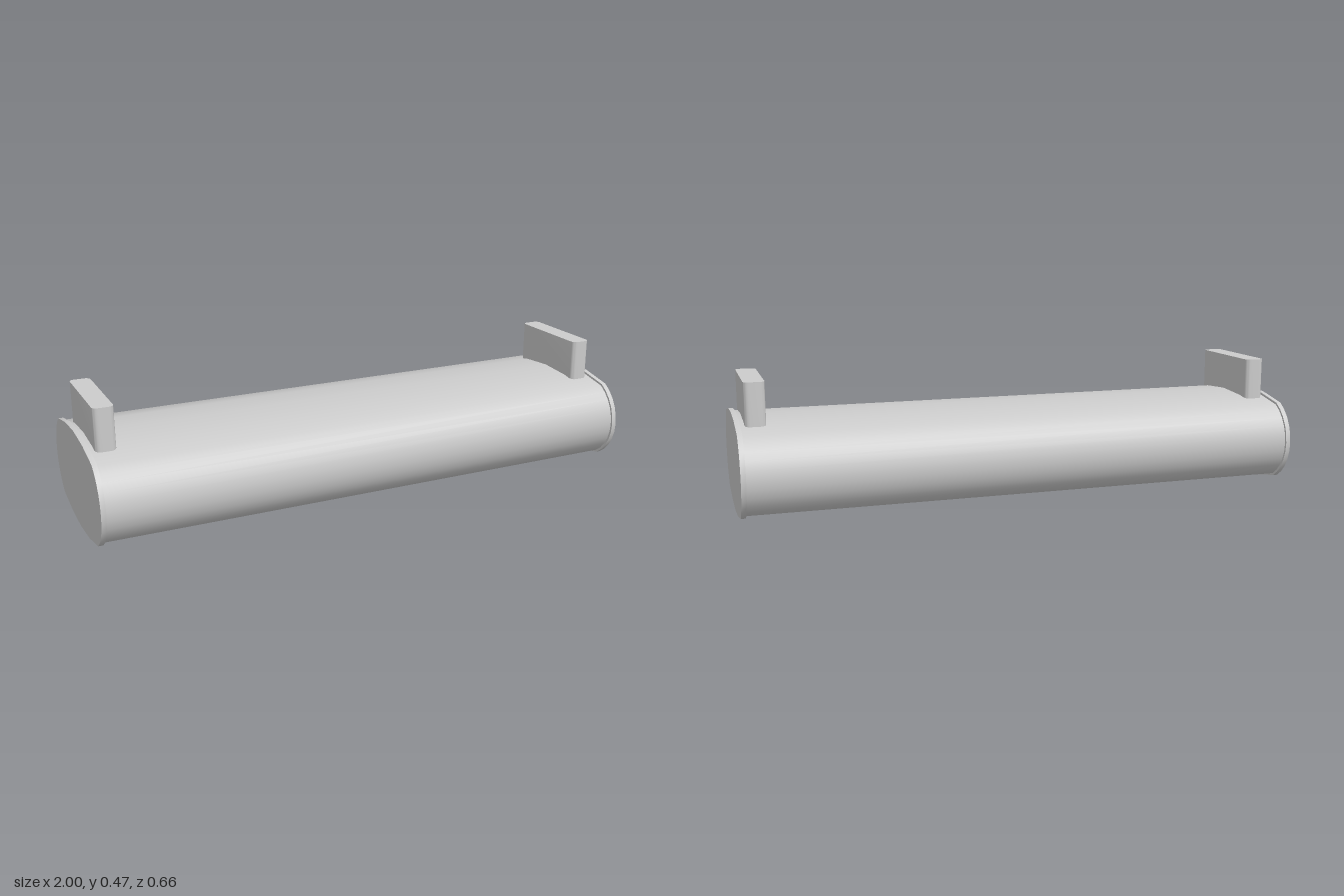
import * as THREE from 'three';
import { toCreasedNormals } from 'three/addons/utils/BufferGeometryUtils.js';

const MID_Y = 0.173;

// Flattened oval section: round sides, slightly crowned top and bottom.
// inset shrinks the section evenly.
function ovalShape(inset) {
  const points = [];
  const radius = 0.1625 - inset, centre = 0.1675, sweep = 1.037, steps = 10;
  for (const side of [1, -1]) {
    for (let i = 0; i <= steps; i++) {
      const a = -sweep + (2 * sweep * i) / steps;
      points.push(new THREE.Vector2(side * (centre + radius * Math.cos(a)), side * radius * Math.sin(a)));
    }
    points.push(new THREE.Vector2(side * 0.128, side * (0.164 - inset)));
    points.push(new THREE.Vector2(0, side * (0.173 - inset)));
    points.push(new THREE.Vector2(-side * 0.128, side * (0.164 - inset)));
  }
  return new THREE.Shape(points);
}

// Rounded rectangle centred on the origin
function roundedRect(w, h, r) {
  const x = w / 2, y = h / 2, s = new THREE.Shape();
  const corners = [[x - r, y - r], [-x + r, y - r], [-x + r, -y + r], [x - r, -y + r]];
  corners.forEach(([cx, cy], i) => s.absarc(cx, cy, r, (i * Math.PI) / 2, ((i + 1) * Math.PI) / 2, false));
  s.closePath();
  return s;
}

function extrude(shape, depth) {
  return new THREE.ExtrudeGeometry(shape, { depth, bevelEnabled: false, curveSegments: 3 });
}

export function createModel() {
  const group = new THREE.Group();
  const material = new THREE.MeshStandardMaterial({ color: 0xcccccc });

  const add = (name, geometry) => {
    const mesh = new THREE.Mesh(toCreasedNormals(geometry, 0.55), material);
    mesh.name = name;
    group.add(mesh);
  };

  // Oval section swept along x, centred at the given x
  const ovalAlongX = (inset, length, x) =>
    extrude(ovalShape(inset), length)
      .translate(0, 0, -length / 2)
      .rotateY(Math.PI / 2)
      .translate(x, MID_Y, 0);

  // Long tank body
  add('body', ovalAlongX(0.008, 1.98, 0));

  for (const side of [1, -1]) {
    const label = side > 0 ? 'left' : 'right';
    // Slightly larger end plate
    add(label + 'EndCap', ovalAlongX(0, 0.017, side * 0.9915));
    // Upright mounting block, sunk into the crown of the body
    add(label + 'Mount', extrude(roundedRect(0.071, 0.344, 0.018), 0.15)
      .rotateX(-Math.PI / 2)
      .translate(side * 0.932, 0.32, 0));
  }
  return group;
}
